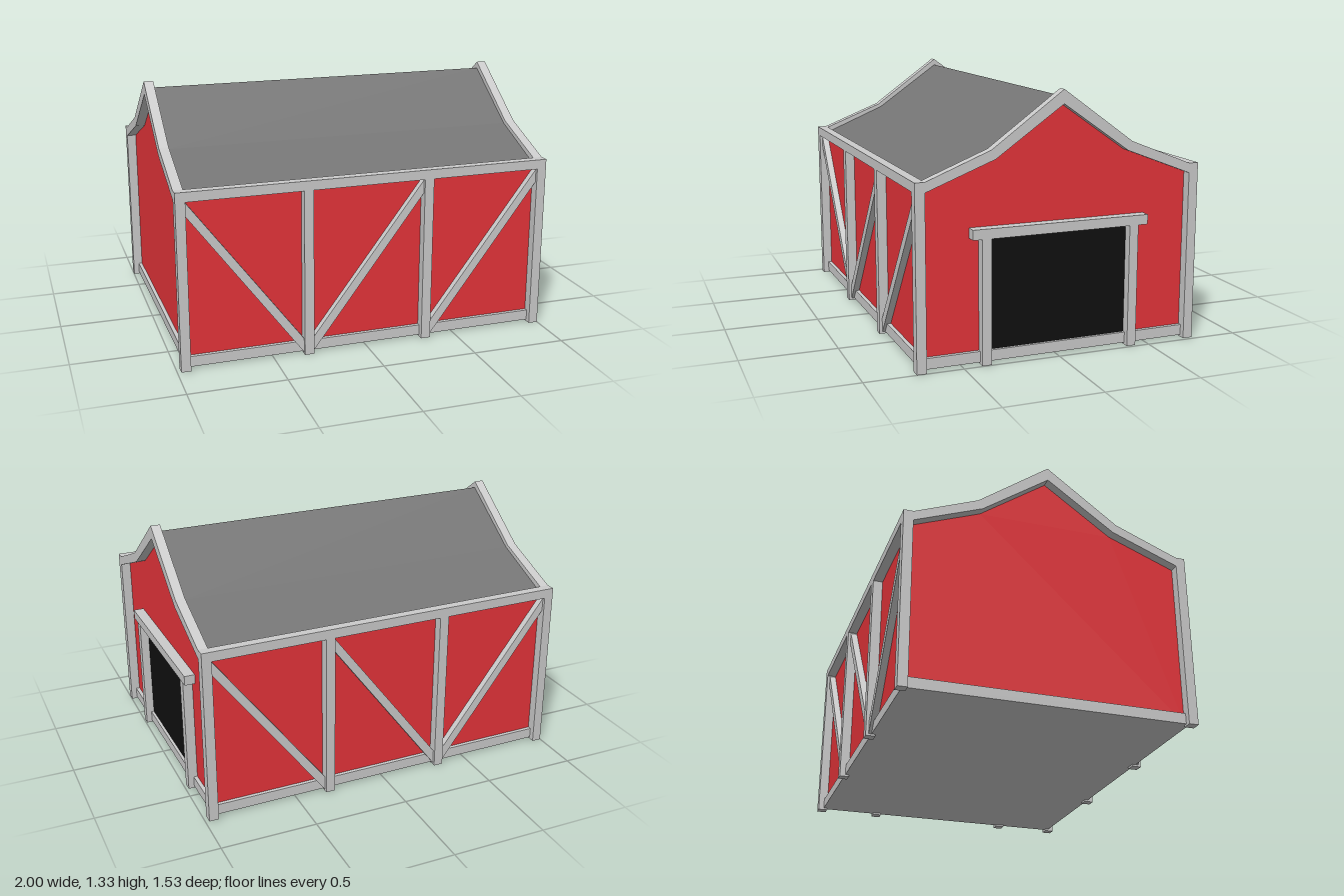
import * as THREE from 'three';

const mat = (color) => new THREE.MeshStandardMaterial({ color, flatShading: true });

export function createModel() {
  const root = new THREE.Group();
  root.name = 'barn';
  const barn = new THREE.Group();
  barn.name = 'barnBody';
  barn.rotation.y = 0.0127; // whole building sits slightly turned
  root.add(barn);

  const trim = mat(0xcccccc), red = mat(0xe6343a), roofGrey = mat(0x757575), black = mat(0x101010);

  const add = (name, geo, material) => {
    const m = new THREE.Mesh(geo, material);
    m.name = name;
    barn.add(m);
    return m;
  };
  // Box given by its min and max on each axis
  const box = (name, x, y, z, material = trim) => {
    const g = new THREE.BoxGeometry(Math.abs(x[1] - x[0]), y[1] - y[0], Math.abs(z[1] - z[0]));
    g.translate((x[0] + x[1]) / 2, (y[0] + y[1]) / 2, (z[0] + z[1]) / 2);
    return add(name, g, material);
  };
  const extrude = (pts, depth) => new THREE.ExtrudeGeometry(
    new THREE.Shape(pts.map(([a, b]) => new THREE.Vector2(a, b))), { depth, bevelEnabled: false });
  // Profile in (z, y) swept along x between x0 and x1
  const sweepX = (name, pts, x0, x1, material) =>
    add(name, extrude(pts, x1 - x0).rotateY(Math.PI / 2).translate(x0, 0, 0), material);
  // Half profile (eave to ridge) mirrored into a full gable line
  const gable = (half) => [...half, ...half.slice(0, -1).reverse().map(([z, y]) => [-z, y])];

  const X = 0.94, Z = 0.70, T = 0.05, B = 0.01;
  const inner = gable([[Z, 0.875], [0.35, 1.01], [0, 1.255]]);
  const roofTop = gable([[Z, 0.895], [0.355, 1.04], [0, 1.29]]);
  const outer = gable([[Z, 0.925], [0.372, 1.055], [0, 1.325]]);
  const band = (top) => [...top, ...[...inner].reverse()];

  // Walls, floor and roof
  sweepX('walls', [...inner, [-Z, B + 0.01], [Z, B + 0.01]], -X, X, red);
  box('floor', [-X, X], [B, B + 0.01], [-Z, Z]);
  sweepX('roof', band(roofTop), -X, X, roofGrey);

  // Gable trim, corner posts and end sills
  for (const s of [-1, 1]) {
    sweepX('gableTrim', band(outer), s > 0 ? X : -X - T, s > 0 ? X + T : -X, trim);
    box('endSill', [s * X, s * (X + 0.02)], [B, 0.065], [-Z, Z]);
    for (const t of [-1, 1]) {
      box('cornerPost', [s * X, s * (X + T)], [0, 0.925], [t * Z, t * (Z + T)]);
    }
  }

  // Long sides: eave beam, sill, posts and diagonal braces
  const braces = [[-X, -0.348], [0.298, -0.298], [X, 0.348]]; // top x, bottom x
  for (const s of [-1, 1]) {
    box('eaveBeam', [-X, X], [0.875, 0.925], [s * Z, s * (Z + T)]);
    box('sideSill', [-X, X], [B, 0.065], [s * Z, s * (Z + 0.02)]);
    for (const x of [-0.323, 0.323]) {
      box('sidePost', [x - 0.025, x + 0.025], [0, 0.875], [s * Z, s * (Z + T)]);
    }
    for (const [xt, xb] of braces) {
      const g = extrude([[xt, 0.87], [xt, 0.8], [xb, B], [xb, 0.085]], 0.035);
      add('brace', g.translate(0, 0, s > 0 ? Z : -Z - 0.035), trim);
    }
  }

  // Doorway on the +x end
  box('doorway', [X, X + 0.005], [0.065, 0.63], [-0.37, 0.37], black);
  for (const s of [-1, 1]) {
    box('doorPost', [X, X + T], [0, 0.63], [s * 0.37, s * 0.418]);
  }
  box('doorLintel', [X, X + T + 0.005], [0.63, 0.68], [-0.467, 0.467]);

  return root;
}
